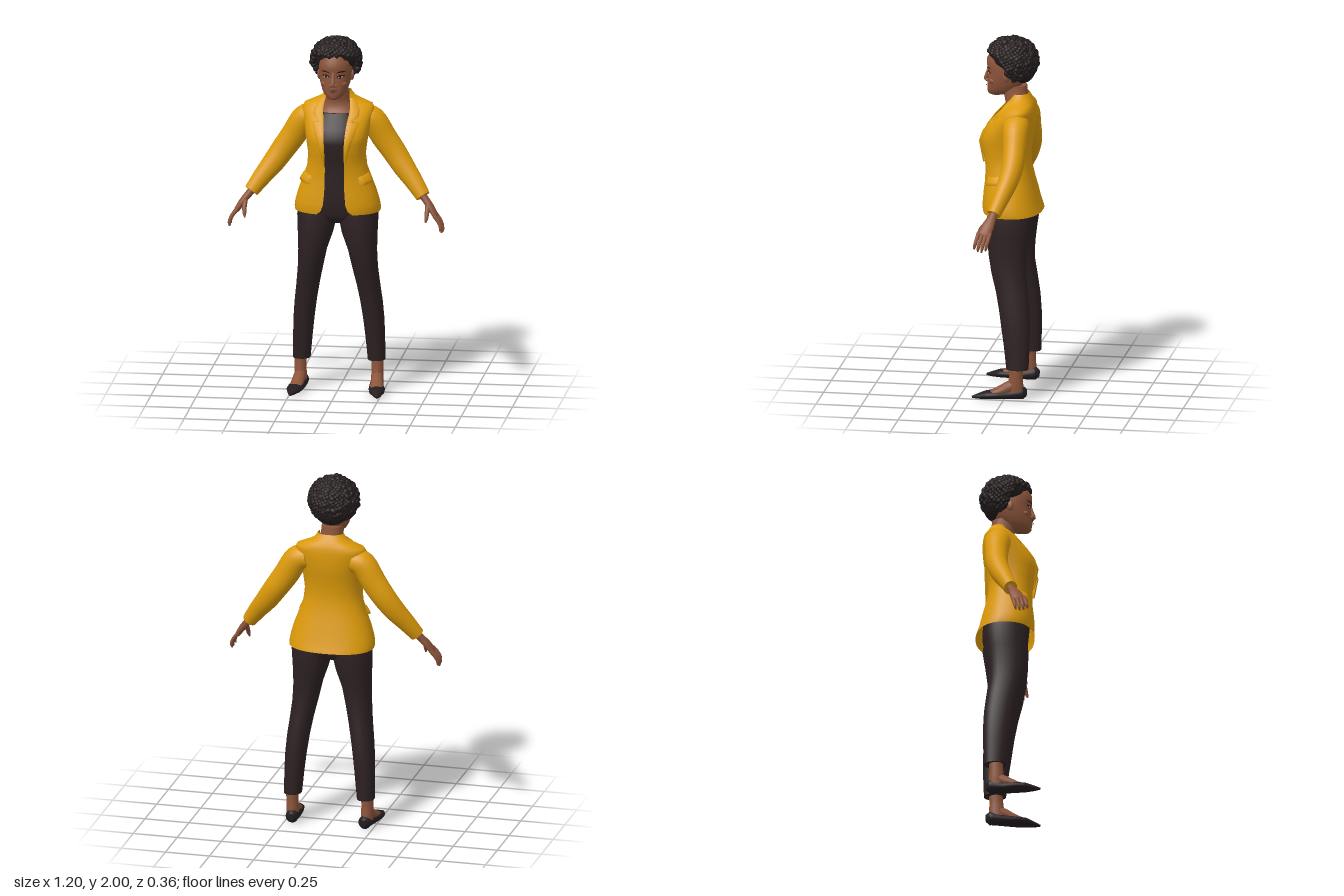
import * as THREE from 'three';
import { mergeGeometries } from 'three/addons/utils/BufferGeometryUtils.js';

const V = (x, y, z) => new THREE.Vector3(x, y, z);
const paint = (name, color, side = THREE.FrontSide) => {
  const m = new THREE.MeshStandardMaterial({ color, side });
  m.name = name;
  return m;
};
const spow = (v, e) => Math.sign(v) * Math.pow(Math.abs(v), e);
const ROUND = 0.87; // slightly squared ellipse

// Skin over a list of point rings; optional wrap-around and end caps
function skinRings(rings, wrap = true, caps = true) {
  const n = rings[0].length, pos = [], idx = [];
  rings.forEach(r => r.forEach(p => pos.push(p.x, p.y, p.z)));
  for (let i = 0; i < rings.length - 1; i++)
    for (let j = 0; j < (wrap ? n : n - 1); j++) {
      const a = i * n + j, b = i * n + (j + 1) % n;
      idx.push(a, b, b + n, a, b + n, a + n);
    }
  if (wrap && caps) [0, rings.length - 1].forEach((k, end) => {
    const c = V(0, 0, 0), base = pos.length / 3;
    rings[k].forEach(p => { c.add(p); pos.push(p.x, p.y, p.z); });
    c.divideScalar(n);
    pos.push(c.x, c.y, c.z);
    for (let j = 0; j < n; j++) {
      const a = base + j, b = base + (j + 1) % n;
      if (end) idx.push(a, b, base + n); else idx.push(b, a, base + n);
    }
  });
  const g = new THREE.BufferGeometry();
  g.setAttribute('position', new THREE.Float32BufferAttribute(pos, 3));
  g.setIndex(idx);
  g.computeVertexNormals();
  return g;
}

// Body sections [y, centreX, halfWidth, zFront, zBack, openingHalfWidth], listed upward
function sectionAt(S, y) {
  let i = 0;
  while (i < S.length - 2 && y > S[i + 1][0]) i++;
  const k = THREE.MathUtils.clamp((y - S[i][0]) / (S[i + 1][0] - S[i][0]), 0, 1);
  return S[i].map((v, c) => v + (S[i + 1][c] - v) * k);
}
function surf(S, t, y, off = 0) {
  const [, cx, rx, zf, zb] = sectionAt(S, y);
  return V(cx + (rx + off) * spow(Math.sin(t), ROUND), y,
    (zf + zb) / 2 + ((zf - zb) / 2 + off) * spow(Math.cos(t), ROUND));
}
const angleAt = (S, x, y) =>
  Math.asin(Math.pow(Math.min(Math.abs(x) / sectionAt(S, y)[2], 1), 1 / ROUND)) * Math.sign(x);
function body(S, seg = 32, caps = true) {
  return skinRings(S.map(s => Array.from({ length: seg }, (_, j) => surf(S, j / seg * Math.PI * 2, s[0]))), true, caps);
}

// Tapered limb along a smooth path of [x, y, z, radiusA, radiusB]
function limb(pts, steps = 16, seg = 16) {
  const curve = new THREE.CatmullRomCurve3(pts.map(p => V(p[0], p[1], p[2])));
  const rings = [];
  for (let i = 0; i <= steps; i++) {
    const f = i / steps, q = f * (pts.length - 1), k = Math.min(Math.floor(q), pts.length - 2);
    const rad = c => THREE.MathUtils.lerp(pts[k][c], pts[k + 1][c], q - k);
    const c = curve.getPoint(f), T = curve.getTangent(f);
    const u = Math.abs(T.z) > 0.75 ? V(0, 1, 0) : V(0, 0, 1);
    u.addScaledVector(T, -u.dot(T)).normalize();
    const v = T.clone().cross(u);
    rings.push(Array.from({ length: seg }, (_, j) => {
      const a = j / seg * Math.PI * 2;
      return c.clone().addScaledVector(u, rad(3) * Math.cos(a)).addScaledVector(v, rad(4) * Math.sin(a));
    }));
  }
  return skinRings(rings);
}

const JACKET = [
  [1.025, 0, .235, .147, -.178, .1], [1.045, 0, .237, .15, -.172, .075], [1.08, 0, .232, .15, -.16, .062],
  [1.14, 0, .215, .145, -.146, .056], [1.2, 0, .193, .138, -.13, .054], [1.28, 0, .165, .137, -.112, .053],
  [1.35, 0, .158, .152, -.11, .053], [1.42, 0, .167, .166, -.12, .055], [1.46, 0, .174, .157, -.128, .057],
  [1.5, 0, .18, .135, -.135, .06], [1.55, 0, .19, .093, -.139, .066], [1.59, 0, .2, .055, -.139, .074],
  [1.615, 0, .188, .034, -.136, .074], [1.635, 0, .14, .02, -.13, .07], [1.655, 0, .095, .012, -.12, .066],
  [1.69, 0, .07, 0, -.1, .066]];
const SHIRT = [
  [1.17, 0, .15, .12, -.09], [1.28, 0, .148, .119, -.09], [1.35, 0, .143, .134, -.09], [1.42, 0, .15, .148, -.09],
  [1.46, 0, .15, .139, -.1], [1.5, 0, .15, .119, -.1], [1.55, 0, .13, .083, -.1], [1.578, 0, .11, .064, -.1]];
const CHEST = [
  [1.5, 0, .12, .105, -.08], [1.55, 0, .12, .073, -.09], [1.59, 0, .1, .04, -.1], [1.62, 0, .078, .026, -.1],
  [1.65, -.002, .062, .032, -.095], [1.73, -.006, .06, .05, -.088]];
const PELVIS = [
  [.955, 0, .05, .04, -.07], [.985, 0, .14, .095, -.125], [1.02, 0, .215, .112, -.14], [1.1, 0, .2, .12, -.138],
  [1.16, 0, .175, .12, -.118], [1.21, 0, .155, .122, -.1]];
const LEG = [
  [.17, .207, .048, -.01, -.132], [.3, .2, .053, .005, -.137], [.4, .193, .057, .02, -.137], [.5, .182, .06, .035, -.132],
  [.6, .167, .063, .055, -.12], [.7, .151, .069, .082, -.107], [.8, .138, .078, .1, -.11], [.9, .122, .097, .11, -.124],
  [1, .113, .11, .112, -.14], [1.06, .105, .105, .105, -.13]];
const HEAD = [
  [1.668, 0, .018, .108, .06], [1.675, 0, .036, .122, .03], [1.69, 0, .053, .13, -.01], [1.715, 0, .069, .131, -.05],
  [1.75, 0, .081, .13, -.075], [1.785, 0, .089, .126, -.09], [1.81, 0, .091, .125, -.1], [1.84, 0, .092, .133, -.1],
  [1.88, 0, .09, .132, -.1], [1.93, 0, .07, .1, -.08]];

export function createModel() {
  const model = new THREE.Group();
  const yellow = paint('mustard jacket', 0xdc9a0a), yellowOpen = paint('mustard cloth', 0xdc9a0a, THREE.DoubleSide);
  const dark = paint('dark brown cloth', 0x2d2122), skin = paint('skin', 0x8c543a), hairMat = paint('hair', 0x231b1c);
  const shoeMat = paint('shoe leather', 0x241d1f), lipMat = paint('lips', 0x74392f);
  const white = paint('eye white', 0xb9a599), lash = paint('lash and brow', 0x2a1813);
  const add = (name, geo, mat, parent = model) => {
    const m = new THREE.Mesh(geo, mat);
    m.name = name;
    parent.add(m);
    return m;
  };

  // Torso, shirt and trousers
  add('neckAndChest', body(CHEST), skin);
  add('shirt', body(SHIRT), dark);
  add('trouserHips', body(PELVIS), dark);

  // Open jacket shell
  add('jacket', skinRings(JACKET.map(s => {
    const t0 = angleAt(JACKET, s[5], s[0]);
    return Array.from({ length: 49 }, (_, j) => surf(JACKET, t0 + (Math.PI * 2 - 2 * t0) * j / 48, s[0]));
  }), false), yellowOpen);

  // Lapel rows [y, innerX, outerX], with a notch below the collar
  const lapel = [[1.3, .053, .056], [1.36, .053, .072], [1.42, .055, .09], [1.48, .058, .11], [1.535, .063, .128],
    [1.543, .065, .095], [1.57, .07, .125], [1.6, .073, .125], [1.635, .07, .105], [1.655, .066, .085]];

  for (const s of [1, -1]) {
    const side = s > 0 ? 'left' : 'right';
    const arm = new THREE.Group(), leg = new THREE.Group();
    arm.name = side + 'Arm';
    leg.name = side + 'Leg';
    model.add(arm, leg);
    const flip = pts => pts.map(([x, ...r]) => [x * s, ...r]);

    add(side + 'Lapel', skinRings(lapel.map(([y, a, b]) => [0, .15, .5, .85, 1].map((f, j) =>
      surf(JACKET, angleAt(JACKET, s * (a + (b - a) * f), y), y, [.002, .008, .009, .008, .001][j]))), false), yellowOpen);
    // Pocket flap wrapping round the hip
    add(side + 'PocketFlap', skinRings([[1.195, .002], [1.197, .016], [1.215, .014], [1.238, .008], [1.242, 0]].map(([y, o]) =>
      Array.from({ length: 9 }, (_, j) => surf(JACKET, s * (.72 + .09 * j), y - .008 + .002 * j, j % 8 ? o : 0))), false), yellowOpen);

    add(side + 'Sleeve', limb(flip([[.13, 1.54, -.055, .07, .065], [.182, 1.527, -.057, .073, .072], [.25, 1.425, -.062, .063, .07],
      [.308, 1.342, -.06, .06, .066], [.36, 1.268, -.043, .055, .061], [.42, 1.192, -.015, .046, .051],
      [.475, 1.117, .014, .038, .041]]), 28, 24), yellow, arm);

    // Hand: wrist and palm, four fingers, thumb
    add(side + 'Palm', limb(flip([[.455, 1.142, .006, .026, .024], [.49, 1.1, .022, .024, .02], [.522, 1.06, .04, .035, .019],
      [.55, 1.018, .056, .036, .015], [.556, 1.008, .06, .026, .009]]), 14), skin, arm);
    [[.024, .97], [.046, 1.08], [.067, 1.04], [.088, .9]].forEach(([z, len], i) => {
      add(side + 'Finger' + (i + 1), limb(flip([[.545, 1.026, z, .011, .011], [.545 + .03 * len, 1.022 - .035 * len, z + .008, .0105, .0105],
        [.545 + .042 * len, 1.022 - .068 * len, z + .015, .009, .009], [.545 + .039 * len, 1.022 - .088 * len, z + .019, .004, .004]]), 10, 10), skin, arm);
    });
    add(side + 'Thumb', limb(flip([[.505, 1.075, .045, .016, .015], [.505, 1.043, .076, .014, .013], [.503, 1.01, .094, .011, .011],
      [.5, .988, .104, .004, .004]]), 10, 10), skin, arm);

    add(side + 'TrouserLeg', body(LEG.map(([y, cx, ...r]) => [y, cx * s, ...r]), 28), dark, leg);
    add(side + 'Ankle', limb(flip([[.211, .22, -.068, .038, .034], [.213, .13, -.064, .038, .033], [.212, .08, -.062, .043, .034],
      [.21, .035, -.06, .046, .033]])), skin, leg);
    add(side + 'Instep', limb(flip([[.212, .085, -.06, .03, .031], [.215, .066, -.02, .033, .033], [.22, .044, .03, .026, .036],
      [.226, .032, .08, .014, .034]])), skin, leg);
    // Pointed flat shoe
    add(side + 'Shoe', limb(flip([[.205, .036, -.122, .02, .014], [.206, .037, -.1, .037, .035], [.211, .028, -.03, .028, .038],
      [.222, .026, .04, .026, .045], [.229, .023, .095, .023, .042], [.236, .015, .14, .015, .023], [.241, .01, .177, .006, .004]]), 24, 20), shoeMat, leg);
  }

  // Head and features
  const head = new THREE.Group();
  head.name = 'head';
  head.position.x = -.008;
  model.add(head);
  add('face', body(HEAD, 40), skin, head);
  const ball = (name, x, y, z, a, b, c, mat) => {
    const m = add(name, new THREE.SphereGeometry(1, 18, 12), mat, head);
    m.position.set(x, y, z);
    m.scale.set(a, b, c);
    return m;
  };
  add('noseBridge', limb([[0, 1.825, .122, .008, .01], [0, 1.79, .131, .01, .011], [0, 1.757, .141, .012, .014],
    [0, 1.748, .138, .006, .01]], 10, 12), skin, head);
  ball('chin', 0, 1.688, .114, .026, .016, .016, skin);
  // Thin disc laid onto the face, with tilt and bend
  const faceDisc = (name, cx, cy, a, b, off, mat, tilt = 0, bend = 0) => {
    const g = new THREE.CircleGeometry(1, 20), p = g.attributes.position;
    for (let i = 0; i < p.count; i++) {
      const x = cx + p.getX(i) * a, y = cy + p.getY(i) * b + p.getX(i) * tilt + p.getX(i) ** 2 * bend;
      p.setXYZ(i, x, y, surf(HEAD, angleAt(HEAD, x, y), y).z + off);
    }
    g.computeVertexNormals();
    add(name, g, mat, head);
  };
  for (const s of [1, -1]) {
    const side = s > 0 ? 'left' : 'right';
    ball(side + 'Nostril', s * .013, 1.752, .131, .011, .009, .012, skin);
    ball(side + 'Cheek', s * .045, 1.757, .093, .027, .02, .022, skin);
    ball(side + 'Ear', s * .09, 1.79, .012, .011, .03, .019, skin).rotation.y = s * .3;
    faceDisc(side + 'Lashes', s * .041, 1.803, .021, .0095, .003, lash, s * .002);
    faceDisc(side + 'EyeWhite', s * .041, 1.801, .015, .0055, .005, white, s * .001);
    faceDisc(side + 'Iris', s * .04, 1.802, .0065, .006, .007, lash);
    faceDisc(side + 'Brow', s * .043, 1.831, .026, .004, .004, lash, s * .003, -.006);
  }
  faceDisc('upperLip', 0, 1.725, .034, .005, .005, lipMat, 0, .004);
  faceDisc('lowerLip', 0, 1.716, .026, .006, .006, lipMat, 0, .005);
  faceDisc('mouthLine', 0, 1.7205, .034, .0013, .008, lash, 0, .006);

  // Curly hair: a core covered with small uneven curls, open over the face
  ball('hairCore', 0, 1.892, -.012, .122, .092, .128, hairMat);
  ball('hairNape', 0, 1.825, -.062, .102, .085, .075, hairMat);
  let seed = 7;
  const rnd = () => (seed = (seed * 16807) % 2147483647) / 2147483647;
  const curls = [], N = 620;
  for (let i = 0; i < N; i++) {
    const h = 1 - 2 * (i + .5) / N, r = Math.sqrt(1 - h * h), a = i * 2.39996;
    const k = .95 + rnd() * .07;
    const p = V(.13 * r * Math.cos(a) * k, 1.868 + .117 * h * k, -.004 + .138 * r * Math.sin(a) * k);
    const size = .013 + rnd() * .007, squash = .75 + rnd() * .5;
    const hairline = THREE.MathUtils.clamp(1.755 + (p.z + .03) * 1.9, 1.74, 1.912);
    if (p.y < hairline) continue;
    const g = new THREE.IcosahedronGeometry(size, 1);
    g.scale(1, squash, 1).rotateX(rnd() * 3).rotateZ(rnd() * 3).translate(p.x, p.y, p.z);
    curls.push(g);
  }
  add('hairCurls', mergeGeometries(curls), hairMat, head);
  return model;
}
